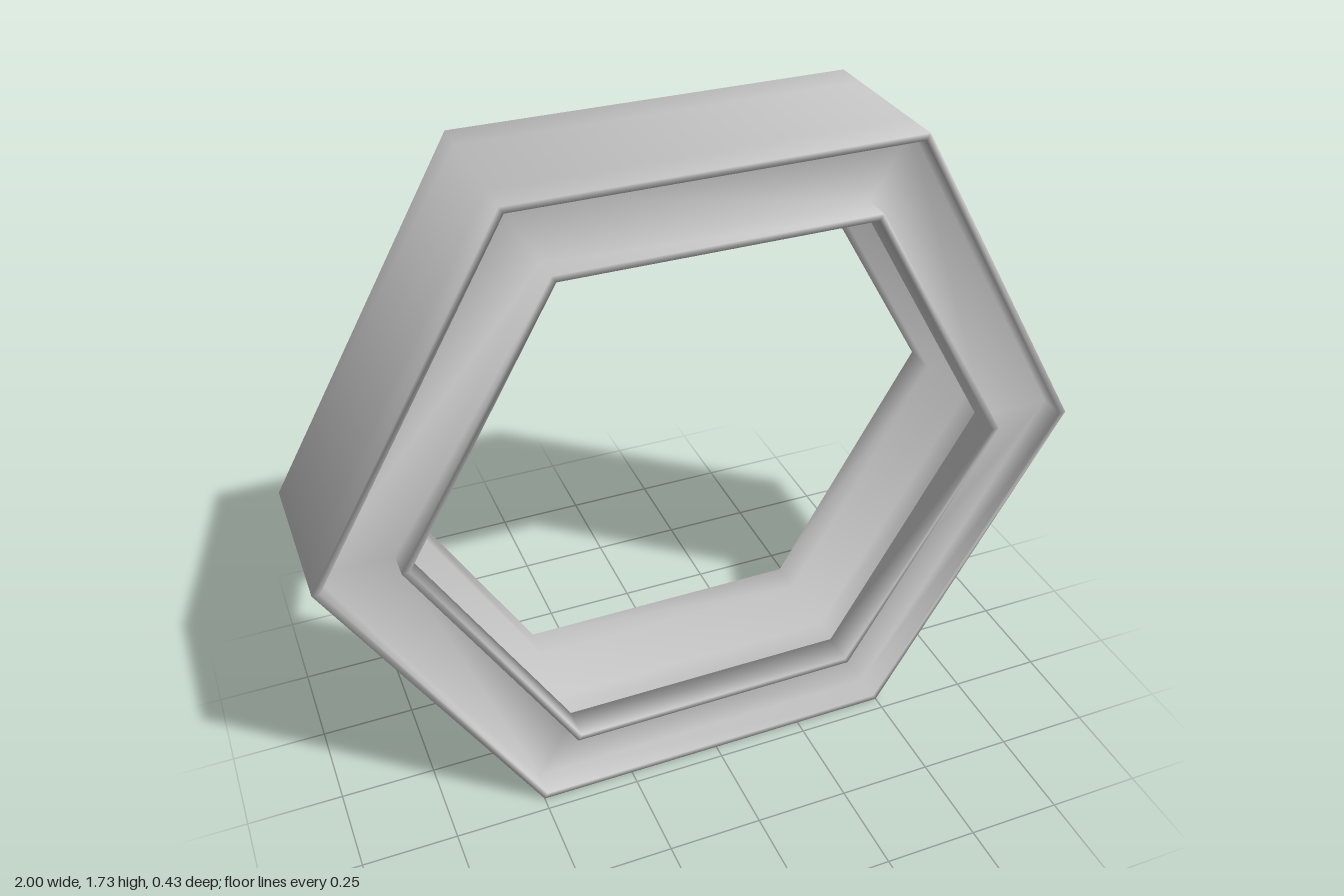
import * as THREE from 'three';

export function createModel() {
  const group = new THREE.Group();
  group.name = 'hexagonalRing';

  const outer = 1, inner = 0.775;   // corner radii of the hexagons
  const wall = 0.019;               // thickness of rims and webs
  const half = 0.213;               // half depth of the ring
  const web = 0.125;                // inner face of each web, facing the channel

  // front half of the section: outer wall, rim, front groove, inner lip, inner channel
  const frontHalf = [
    [outer, web], [outer, half], [outer - wall, half], [outer - wall, web + wall],
    [inner + wall, web + wall], [inner + wall, half], [inner, half], [inner, web],
    [outer - wall, web],
  ];
  // the back half mirrors it; the closed section starts and ends mid channel floor
  const backHalf = frontHalf.map(([r, z]) => [r, -z]).reverse();
  const channelFloor = [outer - wall, 0];
  const section = [channelFloor, ...backHalf, [outer, 0], ...frontHalf, channelFloor]
    .map(([r, z]) => new THREE.Vector2(r, z));

  // six-sided sweep with smooth normals, stood upright with corners at left and right
  const geometry = new THREE.LatheGeometry(section, 6, Math.PI / 2);
  geometry.rotateX(Math.PI / 2);

  const ring = new THREE.Mesh(geometry, new THREE.MeshStandardMaterial({ color: 0xcccccc }));
  ring.name = 'channelFrame';
  ring.position.y = Math.sqrt(3) / 2;
  group.add(ring);
  return group;
}
